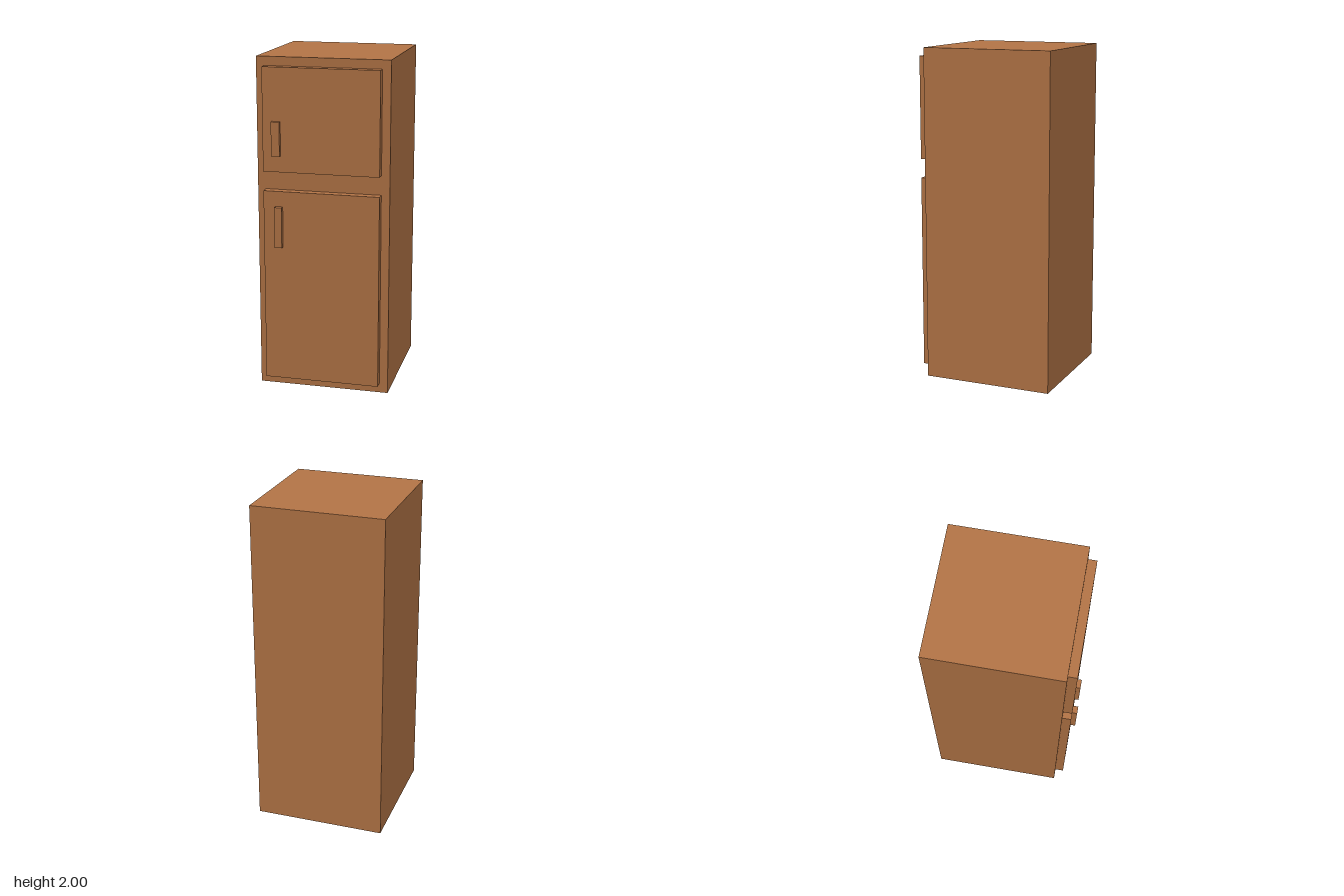
import * as THREE from 'three';

export function createModel() {
  const group = new THREE.Group();
  group.name = 'refrigerator';
  const brown = new THREE.MeshStandardMaterial({ color: 0xb27446 });
  brown.name = 'warm brown';

  // Box given by its minimum and maximum along each axis
  function addBox(name, [x0, x1], [y0, y1], [z0, z1]) {
    const mesh = new THREE.Mesh(new THREE.BoxGeometry(x1 - x0, y1 - y0, z1 - z0), brown);
    mesh.position.set((x0 + x1) / 2, (y0 + y1) / 2, (z0 + z1) / 2);
    mesh.name = name;
    group.add(mesh);
  }

  const bodyFront = 0.353, doorFront = 0.405;
  const doorX = [-0.347, 0.345];

  // Cabinet
  addBox('cabinet', [-0.395, 0.395], [0, 2], [-0.434, bodyFront]);

  // Doors
  addBox('freezerDoor', doorX, [1.337, 1.947], [bodyFront, doorFront]);
  addBox('fridgeDoor', doorX, [0.057, 1.222], [bodyFront, doorFront]);

  // Handles
  addBox('freezerHandle', [-0.29, -0.24], [1.433, 1.635], [doorFront, 0.428]);
  addBox('fridgeHandle', [-0.275, -0.231], [0.887, 1.131], [doorFront, 0.434]);

  return group;
}
